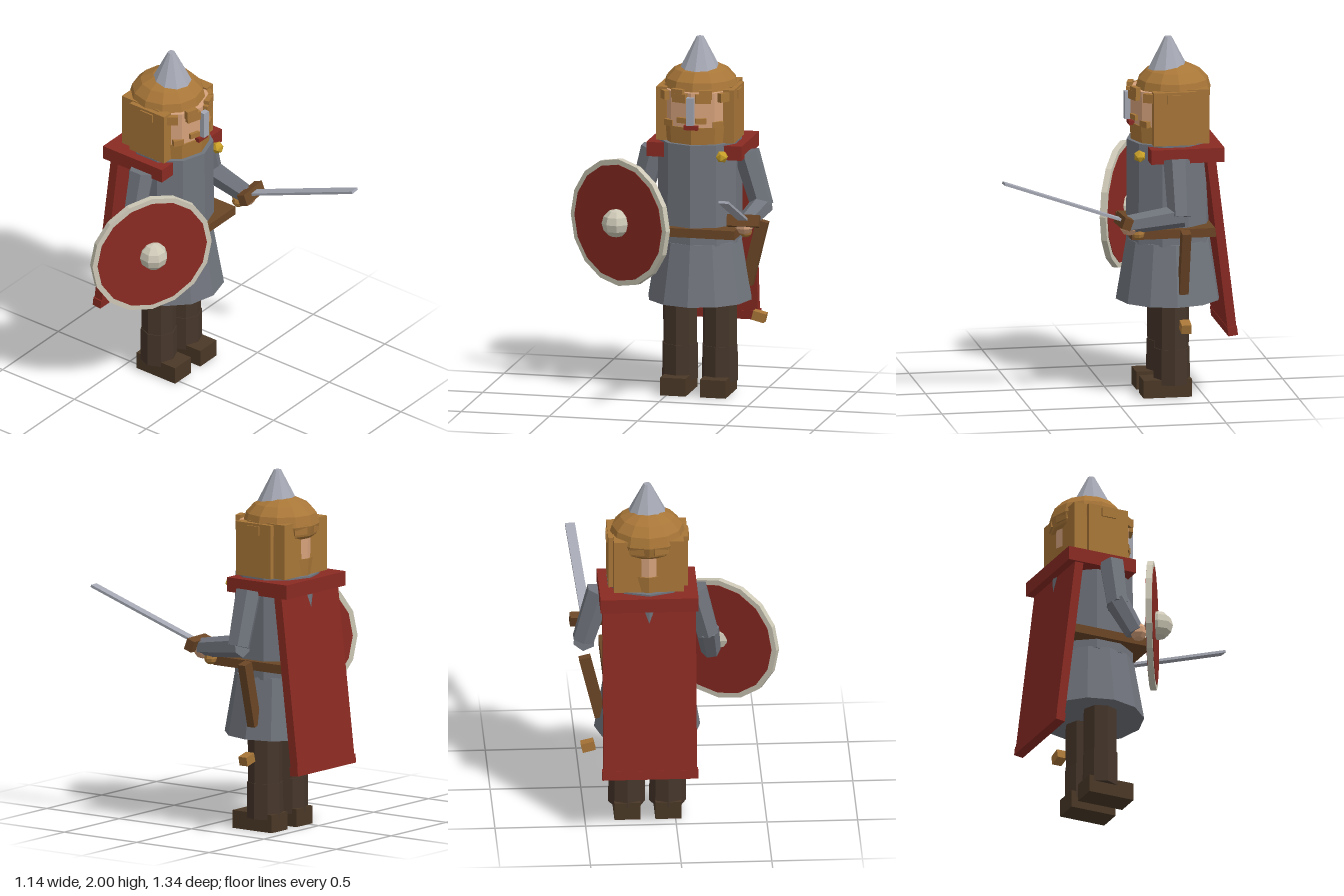
import * as THREE from 'three';

const mat = (name, color) => {
  const m = new THREE.MeshStandardMaterial({ color, flatShading: true });
  m.name = name;
  return m;
};

export function createModel() {
  const mail = mat('grey mail', 0x70747c);
  const steel = mat('steel', 0xa4a7b2);
  const hair = mat('tan hair', 0xa87638);
  const skin = mat('skin', 0xd6a27c);
  const red = mat('red cloth', 0x8a2a22);
  const leather = mat('leather', 0x6b4626);
  const trouser = mat('dark trousers', 0x46362a);
  const boot = mat('boot brown', 0x4a3826);
  const bone = mat('pale wood', 0xcdc8b6);
  const gold = mat('gold', 0xc9a028);

  const model = new THREE.Group();
  model.name = 'shieldWarrior';
  const CX = 0.152, CZ = -0.33;   // body axis

  const add = (name, geo, material, x, y, z, parent = model) => {
    const m = new THREE.Mesh(geo, material);
    m.name = name;
    m.position.set(x, y, z);
    parent.add(m);
    return m;
  };
  const box = (w, h, d) => new THREE.BoxGeometry(w, h, d);
  const cyl = (rt, rb, h, n) => new THREE.CylinderGeometry(rt, rb, h, n);
  // tapered limb between two points
  const limb = (name, a, b, ra, rb, material, n = 6) => {
    const p = new THREE.Vector3(...a), q = new THREE.Vector3(...b);
    const m = add(name, cyl(rb, ra, p.distanceTo(q), n), material, 0, 0, 0);
    m.position.copy(p).add(q).multiplyScalar(0.5);
    m.quaternion.setFromUnitVectors(new THREE.Vector3(0, 1, 0), q.sub(p).normalize());
    return m;
  };

  // Legs and boots
  for (const s of [-1, 1]) {
    const x = CX + s * 0.113;
    add('boot', box(0.145, 0.1, 0.27), boot, x, 0.05, -0.295);
    add('bootShaft', cyl(0.1, 0.102, 0.2, 8), trouser, x, 0.17, CZ);
    add('trouserLeg', cyl(0.097, 0.095, 0.4, 8), trouser, x, 0.42, CZ);
  }

  // Tunic, skirt and belt
  add('torso', cyl(0.232, 0.235, 0.57, 10), mail, CX, 1.145, CZ);
  add('skirt', cyl(0.235, 0.293, 0.34, 12), mail, CX, 0.7, CZ);
  add('belt', box(0.51, 0.05, 0.5), leather, CX, 0.94, CZ);

  // Cape with shoulder collar and brooch
  add('capeCollar', box(0.54, 0.08, 0.41), red, CX, 1.38, -0.392);
  const cape = new THREE.Group();
  cape.name = 'cape';
  cape.position.set(CX, 0.88, -0.583);
  cape.rotation.x = 0.12;
  model.add(cape);
  add('capeCloth', box(0.515, 1.05, 0.05), red, 0, 0, 0, cape);
  add('capeHem', box(0.53, 0.05, 0.054), red, 0, -0.505, 0, cape);
  add('brooch', new THREE.IcosahedronGeometry(0.035, 0), gold, 0.322, 1.368, -0.14);

  // Head, beard and hair
  add('head', cyl(0.21, 0.208, 0.29, 10), skin, CX, 1.575, CZ);
  add('beard', cyl(0.216, 0.208, 0.1, 10), hair, CX, 1.475, CZ);
  add('mouth', box(0.08, 0.025, 0.03), red, CX, 1.528, -0.12);
  add('backHair', box(0.386, 0.305, 0.255), hair, CX, 1.583, -0.398);
  for (const s of [-1, 1]) {
    add('sideHair', box(0.06, 0.3, 0.24), hair, CX + s * 0.19, 1.58, -0.33);
    add('cheekBeard', box(0.06, 0.035, 0.03), hair, CX + s * 0.135, 1.54, -0.178).rotation.y = s * 0.5;
  }
  const dome = add('hairDome', new THREE.SphereGeometry(0.212, 12, 8), hair, CX, 1.71, -0.357);
  dome.scale.y = 0.71;

  // Pointed helmet: cone, brow band, eye guards and nose guard
  const profile = [[0.2, 1.69], [0.155, 1.74], [0.02, 2], [0, 2]].map(p => new THREE.Vector2(...p));
  add('helmetCone', new THREE.LatheGeometry(profile, 10), steel, CX, 0, CZ);
  for (let i = 0; i < 10; i++) {
    const a = (i + 0.5) * Math.PI / 5;
    const b = add('browBand', box(0.085, 0.05, 0.03), hair,
      CX + Math.sin(a) * 0.213, 1.692, CZ + Math.cos(a) * 0.213);
    b.rotation.y = a;
  }
  for (const s of [-1, 1]) {
    add('browGuard', box(0.07, 0.05, 0.03), hair, CX + s * 0.078, 1.715, -0.132).rotation.y = s * 0.31;
    add('eyeGuard', box(0.06, 0.03, 0.025), hair, CX + s * 0.052, 1.565, -0.132).rotation.y = s * 0.31;
  }
  add('noseGuard', box(0.042, 0.155, 0.03), steel, CX, 1.623, -0.1);

  // Arms
  limb('leftUpperArm', [0.415, 1.36, -0.33], [0.505, 1.06, -0.33], 0.075, 0.065, mail);
  limb('leftForearm', [0.5, 1.065, -0.35], [0.472, 1.02, -0.05], 0.065, 0.052, mail);
  add('leftHand', new THREE.SphereGeometry(0.055, 7, 5), skin, 0.47, 1.012, -0.055);
  limb('rightUpperArm', [-0.11, 1.36, -0.33], [-0.185, 1.08, -0.33], 0.075, 0.065, mail);
  limb('rightForearm', [-0.18, 1.11, -0.335], [-0.205, 0.93, -0.235], 0.065, 0.055, mail);
  add('rightHand', new THREE.SphereGeometry(0.05, 7, 5), skin, -0.21, 0.935, -0.215);

  // Round shield, facing along its own z
  const shield = new THREE.Group();
  shield.name = 'shield';
  shield.position.set(-0.257, 0.966, -0.155);
  shield.rotation.y = -0.507;
  model.add(shield);
  const disc = (name, r, h, material) => {
    add(name, cyl(r, r, h, 16), material, 0, 0, 0, shield).rotation.x = Math.PI / 2;
  };
  disc('shieldRim', 0.357, 0.034, bone);
  disc('shieldFace', 0.327, 0.04, red);
  add('shieldBoss', new THREE.SphereGeometry(0.08, 8, 6), bone, 0, 0, 0.035, shield);

  // Sword, pointing along its own z
  const sword = new THREE.Group();
  sword.name = 'sword';
  sword.position.set(0.472, 1.045, -0.025);
  sword.lookAt(0.525, 1.295, 0.66);
  model.add(sword);
  add('blade', box(0.055, 0.014, 0.72), steel, 0, 0, 0.37, sword);
  add('crossGuard', box(0.18, 0.065, 0.05), leather, 0, -0.005, 0, sword);
  add('grip', box(0.035, 0.035, 0.13), leather, 0, -0.015, -0.06, sword);
  add('pommel', new THREE.SphereGeometry(0.036, 8, 6), hair, 0.465, 0.965, -0.105);

  // Scabbard with its metal tip
  add('scabbard', box(0.065, 0.37, 0.05), leather, 0.455, 0.79, -0.367).rotation.z = -0.24;
  add('scabbardTip', box(0.073, 0.052, 0.055), hair, 0.48, 0.43, -0.367).rotation.z = -0.24;

  return model;
}
